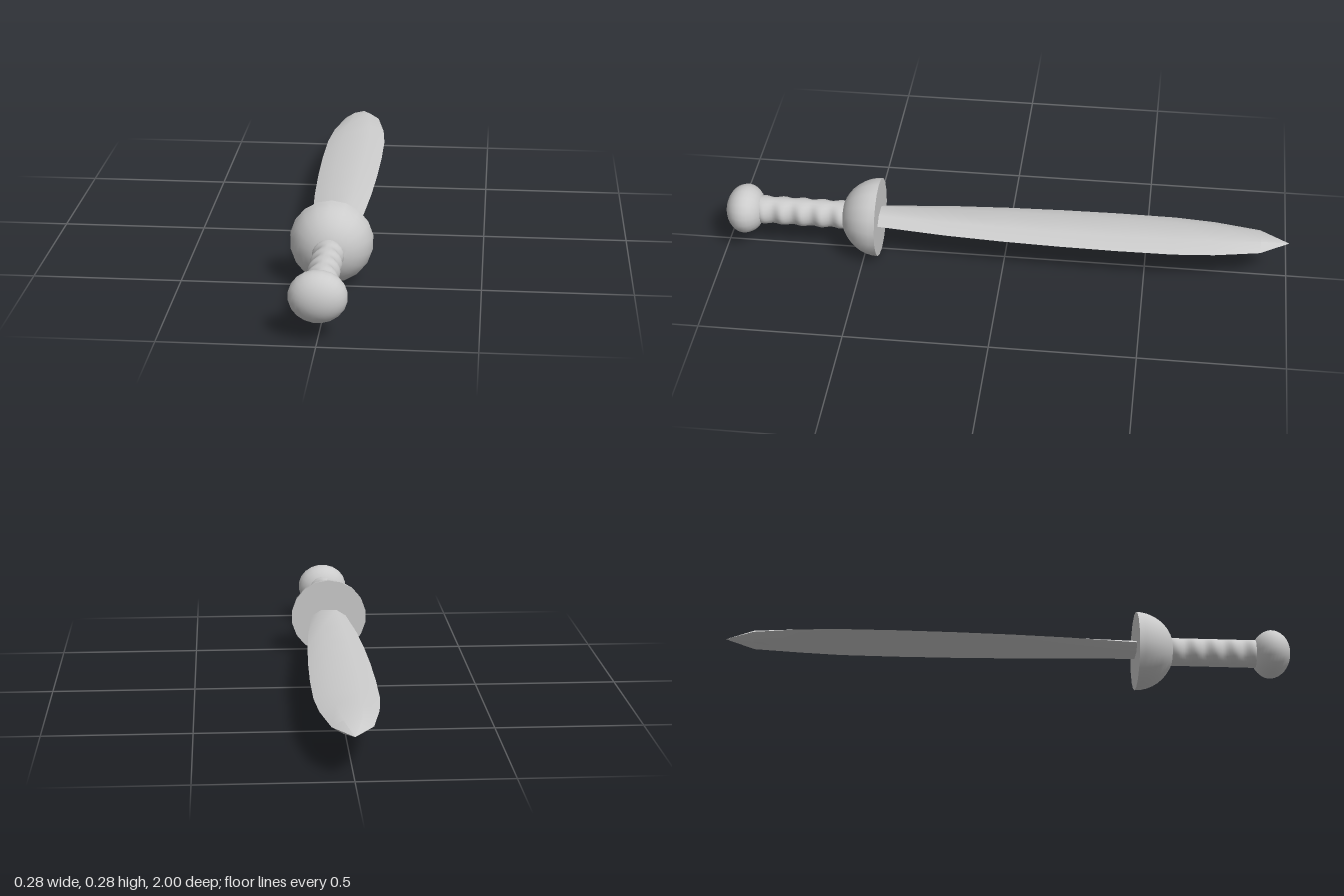
import * as THREE from 'three';
import { toCreasedNormals } from 'three/addons/utils/BufferGeometryUtils.js';

const AXIS_Y = 0.141;
const material = new THREE.MeshStandardMaterial({ color: 0xcccccc });

function part(name, geometry, y = AXIS_Y) {
  const mesh = new THREE.Mesh(geometry, material);
  mesh.name = name;
  mesh.position.y = y;
  return mesh;
}

// Half-dome hand guard, flat towards the blade
function guardGeometry() {
  const points = [new THREE.Vector2(0, 0)];
  for (let i = 0; i <= 10; i++) {
    const a = (i / 10) * Math.PI / 2;
    points.push(new THREE.Vector2(0.14 * Math.cos(a), 0.137 * Math.sin(a)));
  }
  const g = new THREE.LatheGeometry(points, 18).rotateX(Math.PI / 2).translate(0, 0, 0.445);
  return toCreasedNormals(g, 0.7);
}

// Grip with finger grooves pressed into its sides, constant in height
function gripGeometry() {
  const start = 0.56, end = 0.88;
  const g = new THREE.CylinderGeometry(1, 1, end - start, 20, 40, true);
  g.rotateX(Math.PI / 2).translate(0, 0, (start + end) / 2);
  const p = g.attributes.position;
  for (let i = 0; i < p.count; i++) {
    const halfWidth = 0.046 + 0.007 * Math.cos(2 * Math.PI * (p.getZ(i) - 0.585) / 0.0695);
    p.setX(i, p.getX(i) * halfWidth);
    p.setY(i, p.getY(i) * 0.05);
  }
  g.computeVertexNormals();
  return g;
}

// Flattened ball, open where the grip enters
function pommelGeometry() {
  const g = new THREE.SphereGeometry(1, 20, 14, Math.PI / 20, Math.PI * 2, 0, Math.PI * 0.82);
  return g.rotateX(Math.PI / 2).scale(0.094, 0.085, 0.069).translate(0, 0, 0.93);
}

// Leaf-shaped blade: six-sided sections of [z, half width], ending in a point
function bladeGeometry() {
  const sections = [
    [0.45, 0.063], [0.2, 0.088], [0, 0.1], [-0.2, 0.107], [-0.4, 0.11],
    [-0.6, 0.108], [-0.74, 0.096], [-0.9, 0.066],
  ];
  const outline = [[1, 0], [0.45, 1], [-0.45, 1], [-1, 0], [-0.45, -1], [0.45, -1]];
  const halfThickness = 0.022;
  const positions = [], index = [];
  for (const [z, w] of sections)
    for (const [x, y] of outline) positions.push(x * w, y * halfThickness, z);
  const tip = positions.length / 3;
  positions.push(0, 0, -1);
  const last = sections.length - 1;
  for (let s = 0; s <= last; s++) {
    for (let i = 0; i < 6; i++) {
      const a = s * 6 + i, b = s * 6 + (i + 1) % 6;
      if (s === last) index.push(a, tip, b);
      else index.push(a, a + 6, b, b, a + 6, b + 6);
    }
  }
  const g = new THREE.BufferGeometry();
  g.setAttribute('position', new THREE.Float32BufferAttribute(positions, 3));
  g.setIndex(index);
  return toCreasedNormals(g, 0.6);
}

export function createModel() {
  const sword = new THREE.Group();
  sword.name = 'sword';
  sword.add(
    part('blade', bladeGeometry(), 0.145),
    part('guard', guardGeometry()),
    part('grip', gripGeometry()),
    part('pommel', pommelGeometry()),
  );
  return sword;
}
